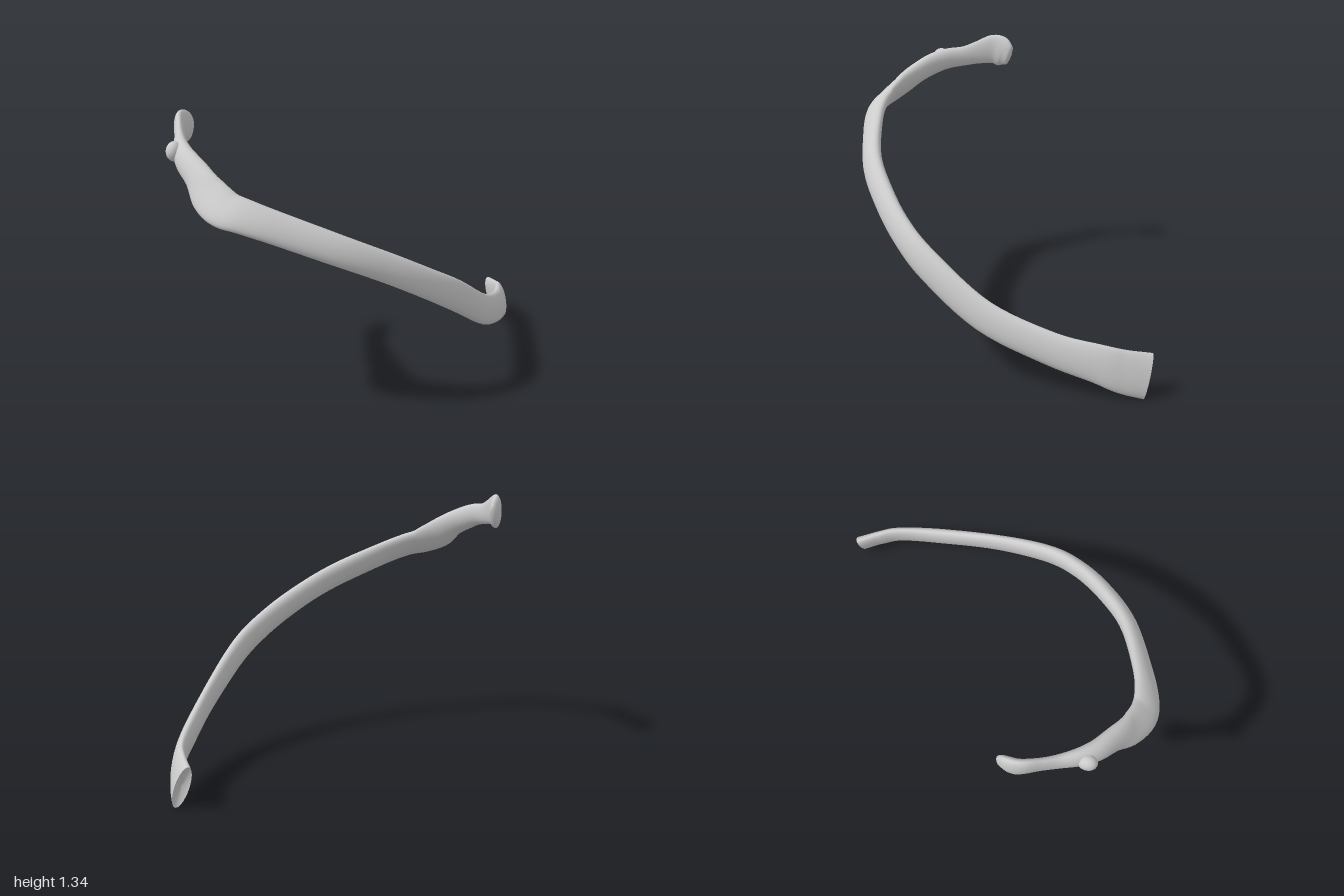
import * as THREE from 'three';

// Stations from the front end to the head:
// centre x, y, z, half height, half thickness, inward lean of the upper edge
const STATIONS = [
  [0.965, 0.107, 0.15, 0.108, 0.034, 0.28],
  [0.89, 0.135, 0.233, 0.102, 0.031, 0.24],
  [0.80, 0.172, 0.307, 0.092, 0.03, 0.2],
  [0.60, 0.224, 0.415, 0.08, 0.034, 0.15],
  [0.30, 0.334, 0.535, 0.077, 0.034, 0.15],
  [0.00, 0.51, 0.583, 0.077, 0.04, 0.18],
  [-0.20, 0.625, 0.565, 0.072, 0.042, 0.22],
  [-0.40, 0.74, 0.497, 0.07, 0.043, 0.3],
  [-0.60, 0.85, 0.388, 0.071, 0.041, 0.4],
  [-0.80, 0.965, 0.2, 0.076, 0.038, 0.6],
  [-0.893, 1.02, 0.085, 0.083, 0.038, 0.75],
  [-0.928, 1.045, 0, 0.089, 0.038, 0.8],
  [-0.923, 1.09, -0.1, 0.086, 0.038, 0.7],
  [-0.895, 1.152, -0.2, 0.068, 0.042, 0.5],
  [-0.868, 1.195, -0.3, 0.062, 0.043, 0.3],
  [-0.825, 1.22, -0.38, 0.057, 0.037, 0.15],
  [-0.765, 1.232, -0.455, 0.054, 0.028, 0.05],
  [-0.712, 1.25, -0.517, 0.064, 0.025, 0],
  [-0.66, 1.265, -0.573, 0.08, 0.028, 0],
  [-0.615, 1.255, -0.596, 0.083, 0.029, 0],
  [-0.575, 1.24, -0.604, 0.06, 0.022, 0],
];
const RINGS = 120, SIDES = 28;

function frameAt(path, size, u) {
  const c = path.getPoint(u), s = size.getPoint(u), t = path.getTangent(u);
  const up = new THREE.Vector3(0, 1, 0).addScaledVector(t, -t.y).normalize();
  const out = up.clone().cross(t);
  const major = up.clone().multiplyScalar(Math.cos(s.z)).addScaledVector(out, -Math.sin(s.z));
  const minor = out.clone().multiplyScalar(Math.cos(s.z)).addScaledVector(up, Math.sin(s.z));
  return { c, t, major, minor, h: s.x, w: s.y };
}

// Oval outline of one section, scaled by k and pushed along the path by d
function ring(f, k = 1, d = 0) {
  return Array.from({ length: SIDES }, (_, j) => {
    const a = (j / SIDES) * Math.PI * 2;
    return f.c.clone().addScaledVector(f.t, d)
      .addScaledVector(f.minor, Math.cos(a) * f.w * k)
      .addScaledVector(f.major, Math.sin(a) * f.h * k);
  });
}

function loft(rings) {
  const pos = rings.flat().flatMap((p) => [p.x, p.y, p.z]);
  const idx = [];
  for (let i = 0; i < rings.length - 1; i++) {
    for (let j = 0; j < SIDES; j++) {
      const a = i * SIDES + j, b = i * SIDES + ((j + 1) % SIDES);
      idx.push(a, b, a + SIDES, b, b + SIDES, a + SIDES);
    }
  }
  const g = new THREE.BufferGeometry();
  g.setAttribute('position', new THREE.Float32BufferAttribute(pos, 3));
  g.setIndex(idx);
  g.computeVertexNormals();
  return g;
}

export function createModel() {
  const group = new THREE.Group();
  const mat = new THREE.MeshStandardMaterial({ color: 0xcccccc, side: THREE.DoubleSide });
  const add = (name, geometry) => {
    const m = new THREE.Mesh(geometry, mat);
    m.name = name;
    group.add(m);
    return m;
  };
  const curve = (o) => new THREE.CatmullRomCurve3(
    STATIONS.map((s) => new THREE.Vector3(s[o], s[o + 1], s[o + 2])), false, 'catmullrom', 0.5);
  const path = curve(0), size = curve(3);
  const frames = Array.from({ length: RINGS + 1 }, (_, i) => frameAt(path, size, i / RINGS));
  const first = frames[0], last = frames[RINGS];

  // Curved shaft, neck and rounded head
  const rings = frames.map((f) => ring(f));
  rings.push(ring(last, 0.85, 0.008), ring(last, 0.5, 0.013), ring(last, 0.001, 0.014));
  add('ribShaft', loft(rings));

  // Shallow hollow closing the front end
  add('frontEndFace', loft([ring(first, 0.001, 0.02), ring(first, 0.6, 0.013), ring(first)].map((r) => r)));

  // Small knob on the outer side where the neck begins
  const knob = add('tubercle', new THREE.SphereGeometry(1, 24, 16));
  knob.position.set(-0.868, 1.226, -0.378);
  knob.scale.set(0.046, 0.046, 0.036);
  knob.rotation.y = 0.4;

  return group;
}
